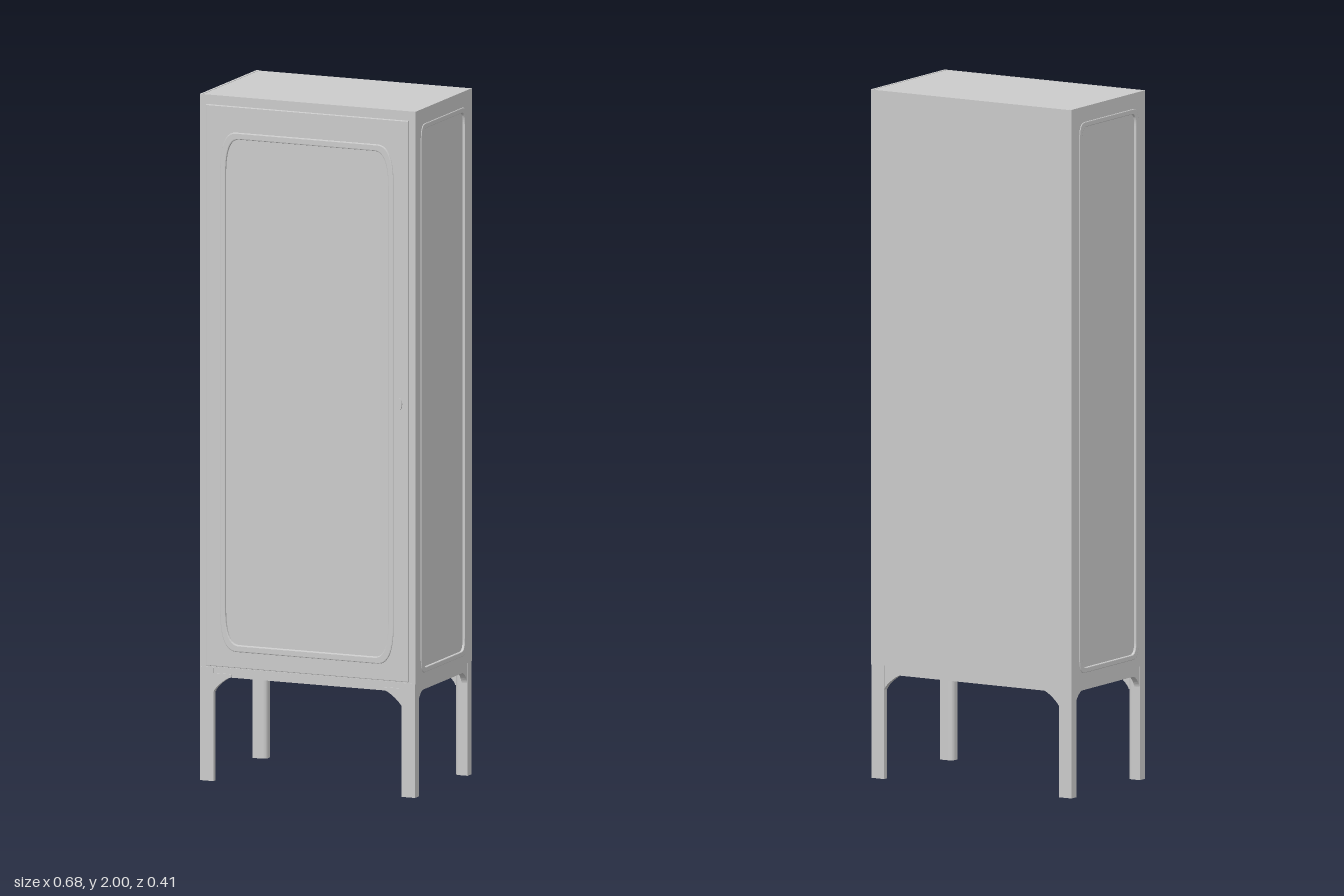
import * as THREE from 'three';

const mat = new THREE.MeshStandardMaterial({ color: 0xcccccc });
const FRONT = 0.193, BACK = -0.205, MID = (FRONT + BACK) / 2;

function mesh(name, geometry, parent, x = 0, y = 0, z = 0) {
  const m = new THREE.Mesh(geometry, mat);
  m.name = name;
  m.position.set(x, y, z);
  parent.add(m);
  return m;
}

// Box given by its limits
function box(name, parent, x0, x1, y0, y1, z0, z1) {
  return mesh(name, new THREE.BoxGeometry(x1 - x0, y1 - y0, z1 - z0), parent,
    (x0 + x1) / 2, (y0 + y1) / 2, (z0 + z1) / 2);
}

// Rectangle outline whose corners are curved by rx and ry
function outline(target, x0, x1, y0, y1, rx = 0, ry = 0) {
  target.moveTo(x0 + rx, y0);
  target.lineTo(x1 - rx, y0);
  if (rx) target.quadraticCurveTo(x1, y0, x1, y0 + ry);
  target.lineTo(x1, y1 - ry);
  if (rx) target.quadraticCurveTo(x1, y1, x1 - rx, y1);
  target.lineTo(x0 + rx, y1);
  if (rx) target.quadraticCurveTo(x0, y1, x0, y1 - ry);
  target.lineTo(x0, y0 + ry);
  if (rx) target.quadraticCurveTo(x0, y0, x0 + rx, y0);
  return target;
}

// Flat ring between two outlines, from z = 0 to z = depth
function ring(outer, inner, depth, bevel = 0) {
  const shape = outline(new THREE.Shape(), ...outer);
  shape.holes.push(outline(new THREE.Path(), ...inner));
  return new THREE.ExtrudeGeometry(shape, {
    depth: depth - bevel, curveSegments: 10, bevelEnabled: bevel > 0,
    bevelThickness: bevel, bevelSize: bevel, bevelOffset: -bevel, bevelSegments: 2,
  });
}

// Side wall: frame with a shallow window and a gasket round it
function sideWall(s) {
  const g = new THREE.Group();
  g.name = s > 0 ? 'leftSide' : 'rightSide';
  // local x runs along -s * z
  const u = (z0, z1) => (s > 0 ? [-z1, -z0] : [z0, z1]);
  const win = [...u(-0.153, 0.147), 0.365, 1.945, 0.025, 0.04];
  mesh('sideFrame', ring([...u(BACK, FRONT), 0.33, 2], win, 0.008), g);
  mesh('sideGasket', ring([...u(-0.163, 0.157), 0.355, 1.955, 0.028, 0.045],
    [...u(-0.149, 0.143), 0.37, 1.94, 0.023, 0.037], 0.01, 0.002), g);
  g.rotation.y = s * Math.PI / 2;
  g.position.x = s * 0.33;
  return g;
}

// Door with pressed frame, gasket, glass and lock
function door() {
  const g = new THREE.Group();
  g.name = 'door';
  mesh('doorFrame', ring([-0.317, 0.317, 0.336, 1.972],
    [-0.262, 0.262, 0.395, 1.885, 0.045, 0.11], 0.006, 0.002), g, 0, 0, FRONT);
  mesh('doorGasket', ring([-0.272, 0.272, 0.383, 1.897, 0.05, 0.115],
    [-0.255, 0.255, 0.403, 1.877, 0.042, 0.105], 0.009, 0.003), g, 0, 0, FRONT);
  box('doorGlass', g, -0.265, 0.265, 0.39, 1.89, FRONT - 0.002, FRONT + 0.002);
  const lock = mesh('lockPlate', new THREE.CylinderGeometry(0.009, 0.009, 0.009, 20), g, 0.29, 1.145, 0.199);
  lock.rotation.x = Math.PI / 2;
  lock.scale.z = 1.9;
  box('key', g, 0.287, 0.293, 1.135, 1.155, 0.199, 0.205);
  return g;
}

// Corner leg with rounded inner edge and a gusset along each apron
function leg(sx, sz) {
  const g = new THREE.Group();
  g.name = (sz > 0 ? 'front' : 'back') + (sx > 0 ? 'Left' : 'Right') + 'Leg';
  const W = 0.042, D = 0.027, R = 0.017;
  const X = 0.337, Z = sz > 0 ? FRONT + 0.002 : -BACK - 0.002;
  const plan = new THREE.Shape();
  plan.moveTo(sx * X, -sz * Z);
  plan.lineTo(sx * (X - W), -sz * Z);
  plan.lineTo(sx * (X - W), -sz * (Z - D + R));
  plan.quadraticCurveTo(sx * (X - W), -sz * (Z - D), sx * (X - W + R), -sz * (Z - D));
  plan.lineTo(sx * X, -sz * (Z - D));
  const post = mesh('post', new THREE.ExtrudeGeometry(plan, { depth: 0.332, bevelEnabled: false }), g);
  post.rotation.x = -Math.PI / 2;

  // Curved gusset in the local xy plane, running from 'from' to 'to'
  const gusset = (from, to, drop) => {
    const s = new THREE.Shape();
    const d = Math.sign(from - to);
    s.moveTo(from + d * 0.008, 0.315);
    s.lineTo(from + d * 0.008, 0.305 - drop);
    s.lineTo(from, 0.305 - drop);
    s.bezierCurveTo(from, 0.315 - drop, to + d * 0.018, 0.303, to, 0.306);
    s.lineTo(to, 0.315);
    return new THREE.ExtrudeGeometry(s, { depth: 0.018, bevelEnabled: false, curveSegments: 8 });
  };
  mesh('frontGusset', gusset(sx * (X - W), sx * 0.24, 0.045), g, 0, 0, sz > 0 ? Z - 0.02 : -Z + 0.002);
  const side = mesh('sideGusset', gusset(-sz * (Z - D), -sz * (Z - D - 0.035), 0.035), g,
    sx > 0 ? X - 0.02 : -X + 0.002);
  side.rotation.y = Math.PI / 2;
  return g;
}

export function createModel() {
  const model = new THREE.Group();
  model.name = 'cabinet';

  // Carcass
  box('carcass', model, -0.333, 0.333, 0.331, 1.999, BACK, FRONT);
  for (const s of [1, -1]) model.add(sideWall(s));
  model.add(door());

  // Front surround standing slightly proud of the carcass
  mesh('frontSurround', ring([-0.338, 0.338, 0.33, 2],
    [-0.32, 0.32, 0.333, 1.975], 0.002), model, 0, 0, FRONT - 0.001);

  // Stand: apron rails under the carcass and four legs
  const stand = new THREE.Group();
  stand.name = 'stand';
  model.add(stand);
  for (const s of [1, -1]) {
    const z = MID + s * 0.186, x = s * 0.325;
    box(s > 0 ? 'frontApron' : 'backApron', stand, -0.335, 0.335, 0.305, 0.332, z - 0.01, z + 0.01);
    box(s > 0 ? 'leftApron' : 'rightApron', stand, x - 0.01, x + 0.01, 0.305, 0.332, MID - 0.185, MID + 0.185);
    for (const t of [1, -1]) stand.add(leg(s, t));
  }
  return model;
}
